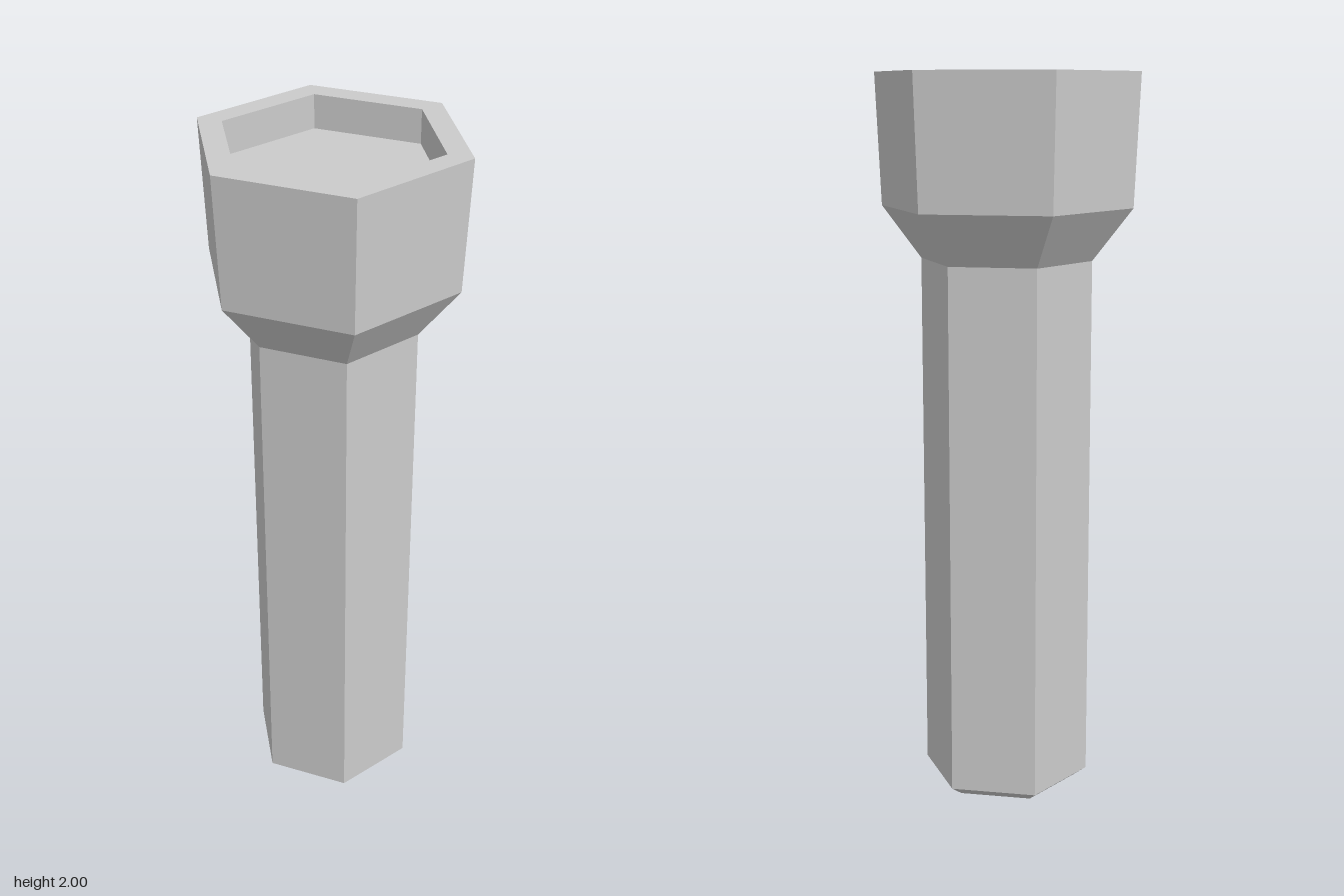
import * as THREE from 'three';

const material = new THREE.MeshStandardMaterial({ color: 0xcccccc, flatShading: true });

// Six-sided turned part from [radius, height] pairs; corners point to +z and -z
function hexPart(name, profile) {
  const points = profile.map(([r, y]) => new THREE.Vector2(r, y));
  const geometry = new THREE.LatheGeometry(points, 6).toNonIndexed();
  geometry.computeVertexNormals();
  const mesh = new THREE.Mesh(geometry, material);
  mesh.name = name;
  return mesh;
}

export function createModel() {
  const group = new THREE.Group();
  group.name = 'hexFlashlight';

  const gripRadius = 0.236;
  const rimRadius = 0.36;
  const lensRadius = 0.292;
  const lensHeight = 1.908;

  group.add(
    // Closed base with a small bevel, then the straight grip
    hexPart('grip', [[0, 0], [0.197, 0], [gripRadius, 0.028], [gripRadius, 1.503]]),
    // Flared neck and slightly widening head
    hexPart('head', [[gripRadius, 1.503], [0.345, 1.645], [rimRadius, 2]]),
    // Flat rim and the vertical wall of the recess
    hexPart('rim', [[rimRadius, 2], [lensRadius, 2], [lensRadius, lensHeight]]),
    // Sunken lens
    hexPart('lens', [[lensRadius, lensHeight], [0, lensHeight]])
  );
  return group;
}
